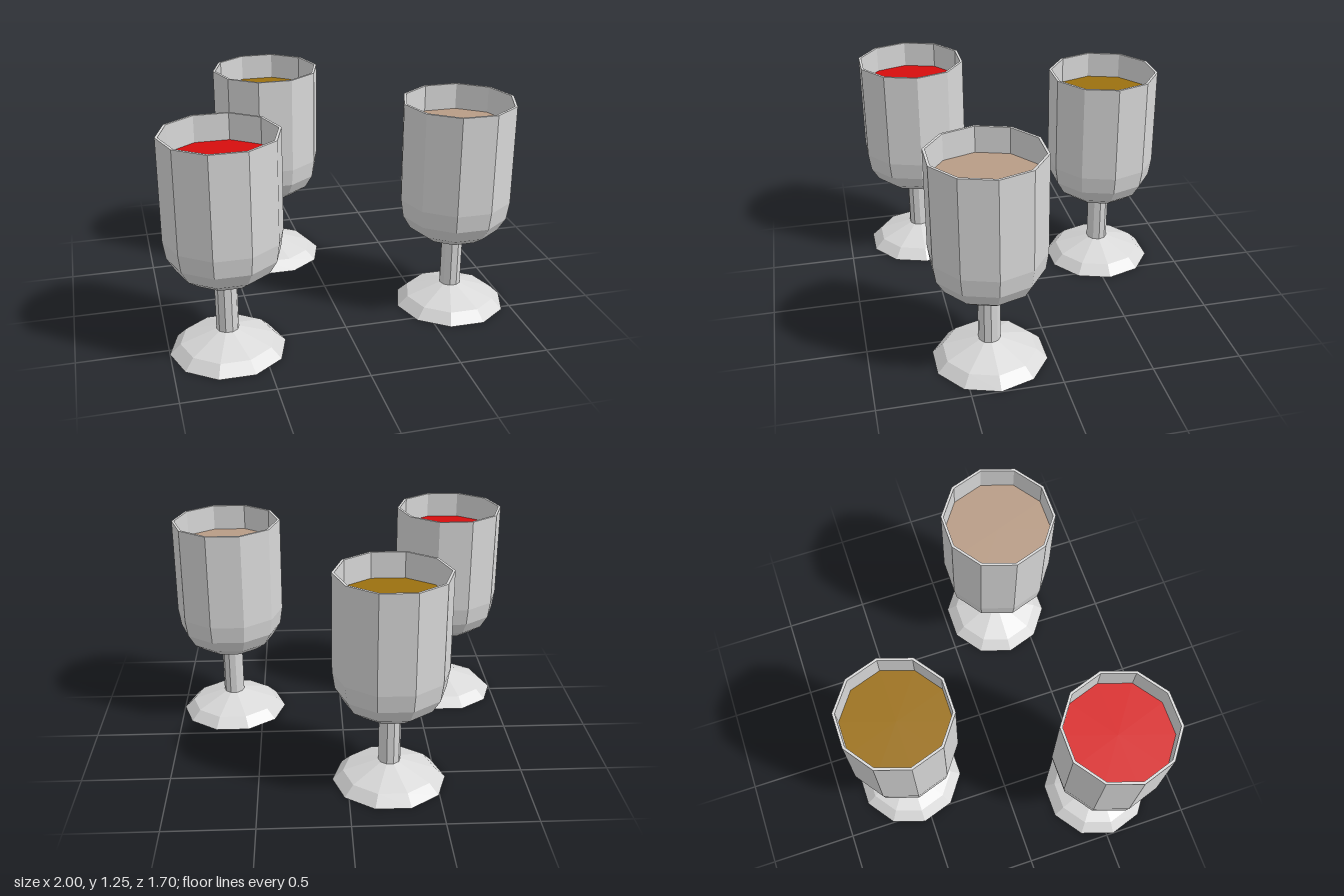
import * as THREE from 'three';

const SIDES = 10;

const material = (name, color) => {
  const m = new THREE.MeshStandardMaterial({ color, flatShading: true });
  m.name = name;
  return m;
};

// Ten-sided turned part with a corner on the x axis
function turned(name, profile, mat) {
  const points = profile.map(([r, y]) => new THREE.Vector2(r, y));
  const mesh = new THREE.Mesh(new THREE.LatheGeometry(points, SIDES, Math.PI / 2), mat);
  mesh.name = name;
  return mesh;
}

function createGoblet(name, glass, drink) {
  const goblet = new THREE.Group();
  goblet.name = name;

  // Faceted foot with a closed underside, and the slim stem
  goblet.add(turned('foot', [[0, 0], [0.32, 0], [0.26, 0.058], [0.062, 0.128]], glass));
  goblet.add(turned('stem', [[0.062, 0.128], [0.062, 0.414]], glass));

  // Bowl: up the outside, over the rim and down the inside
  goblet.add(turned('bowl', [
    [0.062, 0.414], [0.19, 0.455], [0.26, 0.506], [0.305, 0.583], [0.32, 0.685],
    [0.32, 1.25], [0.305, 1.25],
    [0.305, 0.69], [0.29, 0.595], [0.25, 0.52], [0.18, 0.47], [0, 0.43],
  ], glass));

  // Drink surface
  const surface = new THREE.Mesh(new THREE.CircleGeometry(0.305, SIDES), drink);
  surface.name = 'drink';
  surface.rotation.x = -Math.PI / 2;
  surface.position.y = 1.1;
  goblet.add(surface);
  return goblet;
}

export function createModel() {
  const model = new THREE.Group();
  model.name = 'goblets';
  const glass = material('pale grey glass', 0xd8d8d8);

  const goblets = [
    ['redGoblet', material('red drink', 0xd60d0d), -0.68, 0.542],
    ['amberGoblet', material('amber drink', 0x9b7010), -0.235, -0.546],
    ['tanGoblet', material('tan drink', 0xb89c86), 0.68, 0.34],
  ];
  for (const [name, drink, x, z] of goblets) {
    const goblet = createGoblet(name, glass, drink);
    goblet.position.set(x, 0, z);
    model.add(goblet);
  }
  return model;
}
